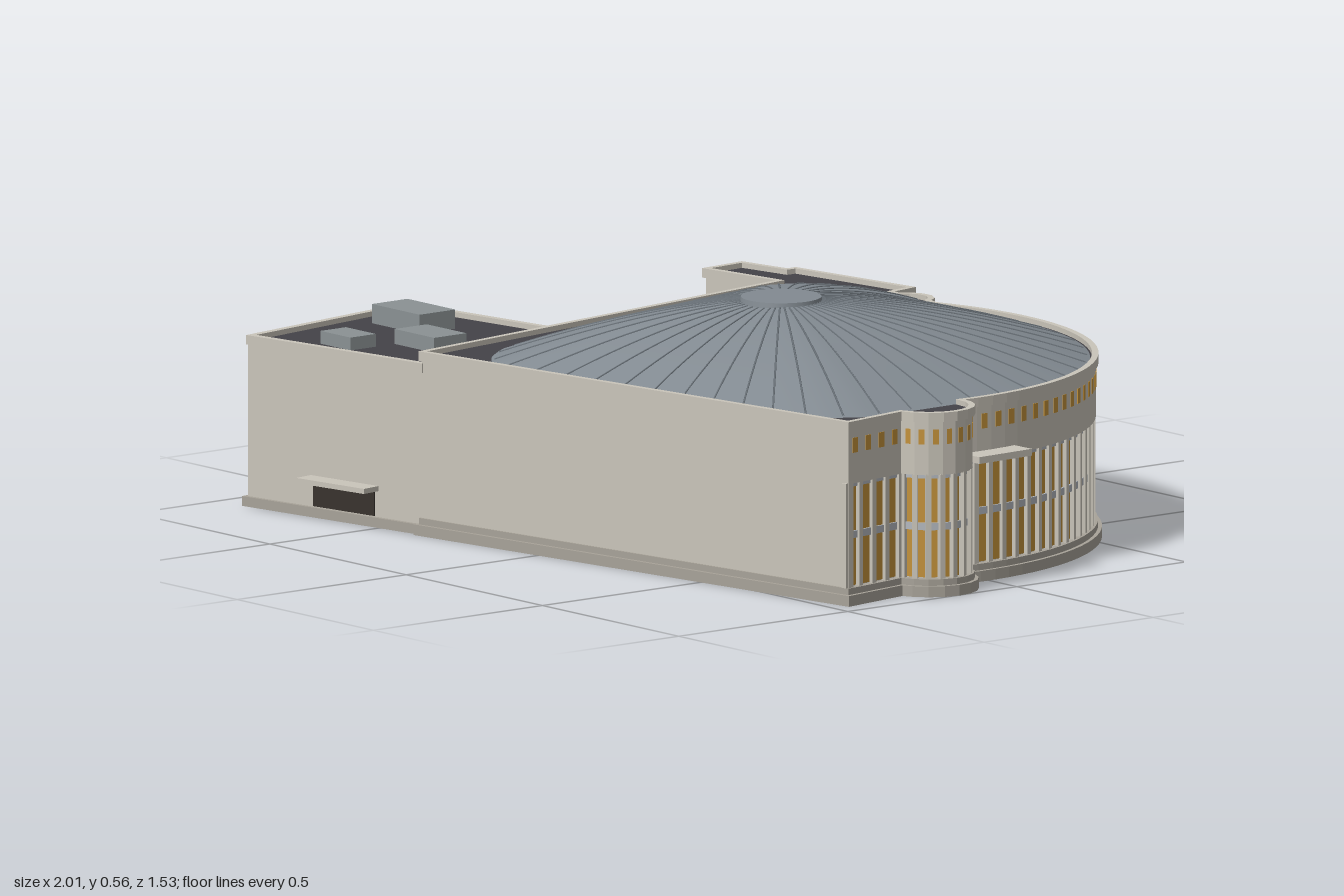
import * as THREE from 'three';
import { mergeGeometries } from 'three/addons/utils/BufferGeometryUtils.js';

// Plan points are (x, n), where n = -z points to the back.
const V = (x, n) => new THREE.Vector2(x, n);
const mat = (color, side = THREE.FrontSide) => new THREE.MeshStandardMaterial({ color, side });
const STONE = mat(0xcac5ba), PLINTH = mat(0xa8a399), ROOF = mat(0x444348), DOME = mat(0x828a91, THREE.DoubleSide),
  RIB = mat(0x6d757c), GOLD = mat(0xc4923a), STEEL = mat(0xb4b9c0), DARK = mat(0x38332e), UNIT = mat(0x8b9294),
  BLUE = mat(0x24405f), BLACK = mat(0x232325);
const CENTER = V(0.16, -0.02);

function arc(c, r, a0, a1, n) {
  return Array.from({ length: n + 1 }, (_, i) => {
    const a = THREE.MathUtils.degToRad(a0 + (a1 - a0) * i / n);
    return V(c.x + r * Math.cos(a), c.y + r * Math.sin(a));
  });
}
const line = (a, b, n) => Array.from({ length: n + 1 }, (_, i) => a.clone().lerp(b, i / n));

// Moves a counter-clockwise outline outwards by d with mitred corners
function offset(pts, d) {
  const normal = (a, b) => V(b.y - a.y, a.x - b.x).normalize();
  return pts.map((p, i) => {
    const n0 = normal(pts[(i + pts.length - 1) % pts.length], p);
    const n1 = normal(p, pts[(i + 1) % pts.length]);
    const k = d / Math.max(0.4, 1 + n0.dot(n1));
    return V(p.x + (n0.x + n1.x) * k, p.y + (n0.y + n1.y) * k);
  });
}

// Upright prism over an outline, optionally hollow
function prism(pts, y0, y1, hole) {
  const shape = new THREE.Shape(pts);
  if (hole) shape.holes.push(new THREE.Path(hole));
  return new THREE.ExtrudeGeometry(shape, { depth: y1 - y0, bevelEnabled: false })
    .rotateX(-Math.PI / 2).translate(0, y0, 0);
}

// Box on the wall line p-q: covers the share [s0, s1] of its length,
// heights y0..y1 and distances o0..o1 outside the line
function slab(p, q, s0, s1, y0, y1, o0, o1) {
  const len = p.distanceTo(q), m = p.clone().lerp(q, (s0 + s1) / 2);
  return new THREE.BoxGeometry(len * (s1 - s0), y1 - y0, o1 - o0)
    .translate(0, (y0 + y1) / 2, (o0 + o1) / 2)
    .rotateY(Math.atan2(q.y - p.y, q.x - p.x))
    .translate(m.x, 0, -m.y);
}

function add(parent, name, geometry, material) {
  const geo = Array.isArray(geometry) ? mergeGeometries(geometry) : geometry;
  const mesh = new THREE.Mesh(geo, material);
  mesh.name = name;
  parent.add(mesh);
  return mesh;
}

// Glazed runs (one segment per bay), in order around the hall
const corner = V(-0.37, -0.655);
const runs = [
  line(V(0.94, -0.45), V(0.91, -0.27), 4),
  arc(V(0.89, -0.17), 0.1, -78, 94, 9),
  arc(CENTER, 0.725, -3.8, 112, 34),
  arc(V(-0.2, 0.64), 0.06, 20, 160, 5),
  line(V(-0.295, 0.735), V(-0.655, 0.68), 8),
  line(V(-0.655, 0.655), V(-0.79, 0.63), 3),
];
const plainWalls = [[corner, V(0.94, -0.45)], [V(-0.283, 0.665), V(-0.295, 0.735)],
  [V(-0.655, 0.68), V(-0.655, 0.655)], [V(-0.79, 0.63), V(-0.78, 0.515)],
  [V(-0.78, 0.515), V(-0.555, 0.55)], [V(-0.555, 0.55), corner]];

function buildHall() {
  const g = new THREE.Group();
  g.name = 'hall';
  const outline = [corner, ...runs.slice(0, 4).flat(), V(-0.283, 0.665), ...runs.slice(4).flat(),
    V(-0.78, 0.515), V(-0.555, 0.55)]
    .filter((p, i, all) => i === 0 || p.distanceTo(all[i - 1]) > 0.004);
  add(g, 'hallPlinth', [prism(offset(outline, 0.014), 0, 0.025), prism(offset(outline, 0.005), 0.025, 0.04)], PLINTH);
  add(g, 'hallCore', prism(offset(outline, -0.014), 0.04, 0.29), STONE);
  add(g, 'upperWall', prism(outline, 0.283, 0.408), STONE);
  add(g, 'cornice', prism(offset(outline, 0.006), 0.408, 0.43, offset(outline, -0.009)), STONE);
  add(g, 'flatRoof', prism(offset(outline, -0.008), 0.4, 0.418), ROOF);
  add(g, 'plainWalls', plainWalls.map(([p, q]) => slab(p, q, 0, 1, 0.03, 0.29, -0.018, 0)), STONE);

  // Bays: tall panes, columns, mid band, head rail and small upper windows
  const panes = [], columns = [], rails = [], upper = [];
  for (const run of runs) {
    run.slice(0, -1).forEach((p, i) => {
      const q = run[i + 1], half = 0.0065 / p.distanceTo(q);
      panes.push(slab(p, q, 0.06, 0.94, 0.042, 0.28, -0.016, -0.011));
      rails.push(slab(p, q, 0, 1, 0.153, 0.17, -0.014, -0.006), slab(p, q, 0, 1, 0.274, 0.284, -0.014, -0.007));
      columns.push(slab(p, q, -half, half, 0.04, 0.285, -0.016, -0.001));
      if (i === run.length - 2) columns.push(slab(p, q, 1 - half, 1 + half, 0.04, 0.285, -0.016, -0.001));
      upper.push(slab(p, q, 0.3, 0.7, 0.355, 0.39, -0.004, 0.0015));
    });
  }
  add(g, 'windowPanes', panes, GOLD);
  add(g, 'windowRails', rails, STEEL);
  add(g, 'columns', columns, STONE);
  add(g, 'upperWindows', upper, GOLD);

  // Entrance canopies on the curved side
  const canopies = [2.5, 93].map(a => {
    const [p, q] = arc(CENTER, 0.725, a - 6.4, a + 6.4, 1);
    return slab(p, q, 0, 1, 0.287, 0.303, -0.01, 0.062);
  });
  add(g, 'canopies', canopies, STONE);
  return g;
}

function buildDome() {
  const g = new THREE.Group();
  g.name = 'dome';
  const edge = [...arc(CENTER, 0.712, 0, 108, 40), V(-0.13, 0.667), V(-0.2, 0.685), V(-0.27, 0.685), V(-0.345, 0.665),
    V(-0.42, 0.62), V(-0.48, 0.56), V(-0.515, 0.465), V(-0.36, -0.33), V(-0.33, -0.45), V(-0.265, -0.535),
    V(-0.2, -0.585), V(-0.13, -0.6), V(0.725, -0.46), V(0.82, -0.42), V(0.87, -0.35), V(0.876, -0.2), V(0.872, -0.02)];
  const N = 144, R = 14;
  const rim = new THREE.Path(edge).getSpacedPoints(N);
  const at = (p, t) => new THREE.Vector3(CENTER.x + (p.x - CENTER.x) * t, 0.418 + 0.14 * (1 - t ** 1.6),
    -(CENTER.y + (p.y - CENTER.y) * t));
  const pos = [], idx = [];
  for (let j = 0; j <= R; j++) {
    for (let i = 0; i < N; i++) pos.push(...at(rim[i], j / R).toArray());
  }
  for (let j = 0; j < R; j++) {
    for (let i = 0; i < N; i++) {
      const k = (i + 1) % N, a = j * N + i, b = j * N + k;
      if (j) idx.push(a, b + N, b);
      idx.push(a, a + N, b + N);
    }
  }
  const geo = new THREE.BufferGeometry();
  geo.setAttribute('position', new THREE.Float32BufferAttribute(pos, 3));
  geo.setIndex(idx);
  geo.computeVertexNormals();
  add(g, 'domeShell', geo, DOME);

  // Radial ribs and the round cap
  const ribs = [];
  for (let i = 0; i < N; i += 3) {
    const path = [0.13, 0.3, 0.5, 0.7, 0.85, 0.99].map(t => at(rim[i], t));
    ribs.push(new THREE.TubeGeometry(new THREE.CatmullRomCurve3(path), 12, 0.0025, 4));
  }
  add(g, 'domeRibs', ribs, RIB);
  add(g, 'domeCap', new THREE.CylinderGeometry(0.093, 0.096, 0.02, 40), DOME).position.set(CENTER.x, 0.552, -CENTER.y);
  return g;
}

function buildAnnex() {
  const g = new THREE.Group();
  g.name = 'annex';
  const a = V(-0.99, -0.2), b = V(-0.9, -0.742), d = V(-0.435, -0.115);
  const outline = [a, b, corner, d];
  add(g, 'annexPlinth', prism(offset(outline, 0.01), 0.002, 0.025), PLINTH);
  add(g, 'annexUnderside', prism(outline, 0, 0.01), BLACK);
  add(g, 'annexWalls', prism(outline, 0.025, 0.385), STONE);
  add(g, 'annexRoof', prism(offset(outline, -0.01), 0.38, 0.39), ROOF);
  add(g, 'annexParapet', prism(offset(outline, 0.003), 0.38, 0.402, offset(outline, -0.014)), STONE);

  // Rooftop machinery: x, z, width, depth, top
  const units = [[-0.80, 0.333, 0.175, 0.105, 0.435], [-0.578, 0.462, 0.145, 0.095, 0.425],
    [-0.705, 0.603, 0.11, 0.075, 0.42]];
  add(g, 'roofUnits', units.map(([x, z, w, dp, top]) =>
    new THREE.BoxGeometry(w, top - 0.385, dp).translate(x, (top + 0.385) / 2, z)), UNIT);

  // Front doorway with canopy, and the side window
  add(g, 'frontDoor', slab(b, corner, 0.38, 0.73, 0.027, 0.09, -0.01, 0.004), DARK);
  add(g, 'doorCanopy', slab(b, corner, 0.36, 0.75, 0.086, 0.098, -0.01, 0.05), STONE);
  add(g, 'sideWindow', slab(a, b, 0.33, 0.58, 0.225, 0.32, -0.01, 0.004), BLUE);
  return g;
}

export function createModel() {
  const model = new THREE.Group();
  model.name = 'arena';
  model.add(buildHall(), buildDome(), buildAnnex());
  return model;
}
